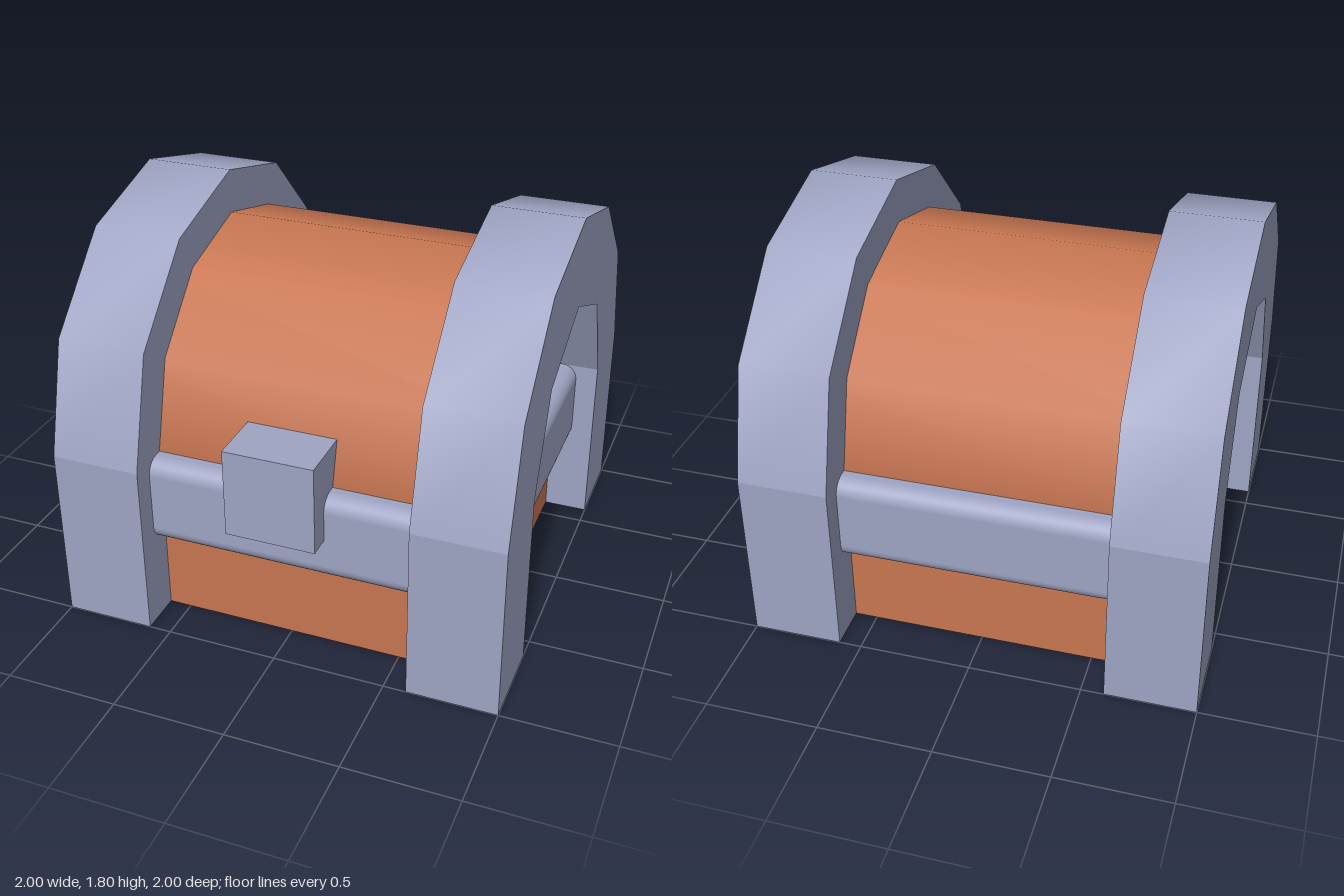
import * as THREE from 'three';
import { toCreasedNormals } from 'three/addons/utils/BufferGeometryUtils.js';
import { RoundedBoxGeometry } from 'three/addons/geometries/RoundedBoxGeometry.js';

export function createModel() {
  const group = new THREE.Group();
  group.name = 'chest';
  const wood = new THREE.MeshStandardMaterial({ color: 0xc87651 });
  wood.name = 'wood';
  const metal = new THREE.MeshStandardMaterial({ color: 0x9fa5c4 });
  metal.name = 'metal';

  const add = (name, geometry, material, x = 0, y = 0, z = 0) => {
    const mesh = new THREE.Mesh(geometry, material);
    mesh.name = name;
    mesh.position.set(x, y, z);
    group.add(mesh);
    return mesh;
  };

  // Wooden box with a metal underside
  add('body', new THREE.BoxGeometry(1.6, 0.8, 1.6), [wood, wood, wood, metal, wood, wood], 0, 0.4, 0);

  // Half-barrel lid
  const lid = new THREE.CylinderGeometry(0.8, 0.8, 1.6, 6, 1, false, 0, Math.PI);
  lid.rotateZ(Math.PI / 2);
  add('lid', lid, wood, 0, 0.8, 0);

  // Soft-edged band around the rim
  add('band', new RoundedBoxGeometry(1.8, 0.4, 1.8, 4, 0.07), metal, 0, 0.6, 0);

  // Corner posts
  const post = new THREE.BoxGeometry(0.4, 0.8, 0.4);
  for (const sx of [-1, 1]) {
    for (const sz of [-1, 1]) add('cornerPost', post, metal, sx * 0.8, 0.4, sz * 0.8);
  }

  // Lid arches: six-sided outside, four-sided inside
  const arc = (radius, sides) => Array.from({ length: sides + 1 }, (_, i) => {
    const a = (Math.PI * i) / sides;
    return new THREE.Vector2(radius * Math.cos(a), radius * Math.sin(a));
  });
  const profile = new THREE.Shape([...arc(1, 6), ...arc(0.6, 4).reverse()]);
  let arch = new THREE.ExtrudeGeometry(profile, { depth: 0.4, bevelEnabled: false });
  arch.translate(0, 0, -0.2);
  arch.rotateY(Math.PI / 2);
  arch = toCreasedNormals(arch, THREE.MathUtils.degToRad(35));
  for (const sx of [-1, 1]) add('lidArch', arch, metal, sx * 0.8, 0.8, 0);

  // Lock block
  add('lock', new THREE.BoxGeometry(0.4, 0.4, 0.3), metal, 0, 0.8, 0.85);

  return group;
}
